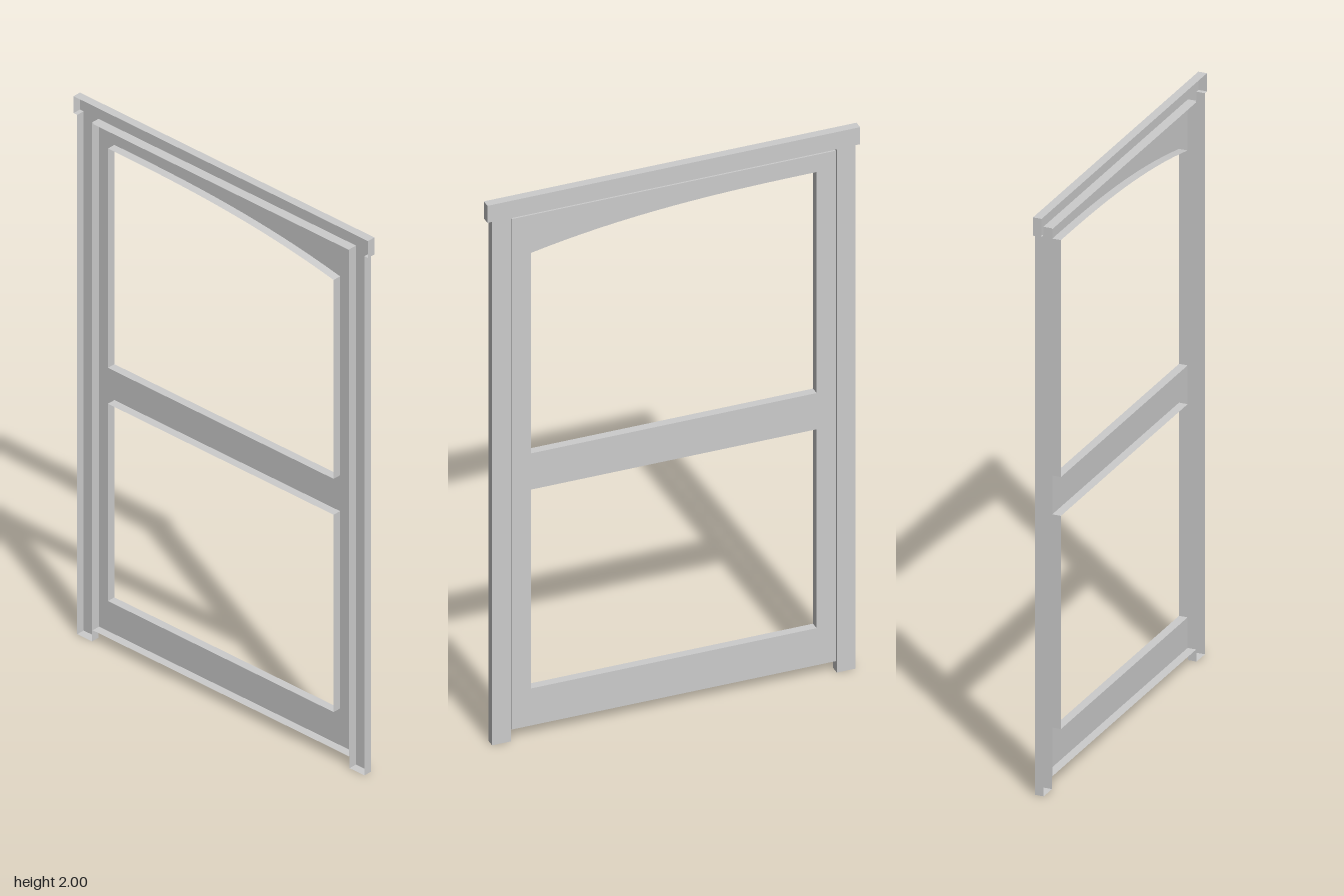
import * as THREE from 'three';

const DEPTH = 0.03;
const material = new THREE.MeshStandardMaterial({ color: 0xcccccc, side: THREE.DoubleSide });

// Open-backed shell: a face on +x with walls running back to -x.
// The shape is drawn as seen from +x, so its horizontal axis is -z.
function shell(name, shape) {
  const solid = new THREE.ExtrudeGeometry(shape, { depth: DEPTH, bevelEnabled: false });
  const skip = solid.groups[0].count / 2; // the rear lid comes first
  const geometry = new THREE.BufferGeometry();
  const positions = solid.attributes.position.array.slice(skip * 3);
  geometry.setAttribute('position', new THREE.BufferAttribute(positions, 3));
  geometry.translate(0, 0, -DEPTH / 2);
  geometry.rotateY(Math.PI / 2);
  geometry.computeVertexNormals();
  const mesh = new THREE.Mesh(geometry, material);
  mesh.name = name;
  return mesh;
}

const points = (list) => list.map(([u, v]) => new THREE.Vector2(u, v));

// Mirrors a half outline, listed from bottom to top, across the middle
function mirrored(half) {
  return points([...half, ...half.map(([u, v]) => [-u, v]).reverse()]);
}

export function createModel() {
  const group = new THREE.Group();
  group.name = 'doorWithFrame';

  // Jambs and the wider header in one piece, open at the bottom
  const frame = new THREE.Shape(mirrored([
    [0.558, 1.936], [0.558, 0], [0.622, 0], [0.622, 1.937], [0.638, 1.937], [0.638, 2],
  ]));
  group.add(shell('doorFrame', frame));

  // Door leaf with a plain lower opening
  const leaf = new THREE.Shape(mirrored([[0.555, 0.043], [0.555, 1.932]]));
  const w = 0.489;
  leaf.holes.push(new THREE.Path(mirrored([[w, 0.18], [w, 0.916]])));

  // Upper opening, its top rising in a half arch towards -z
  const arch = [];
  for (let i = 0; i <= 16; i++) {
    const t = i / 16;
    arch.push([-w + 2 * w * t, 1.868 - 0.076 * Math.pow(1 - t, 2.6)]);
  }
  leaf.holes.push(new THREE.Path(points([[w, 1.05], [-w, 1.05], ...arch])));
  group.add(shell('doorLeaf', leaf));

  return group;
}
